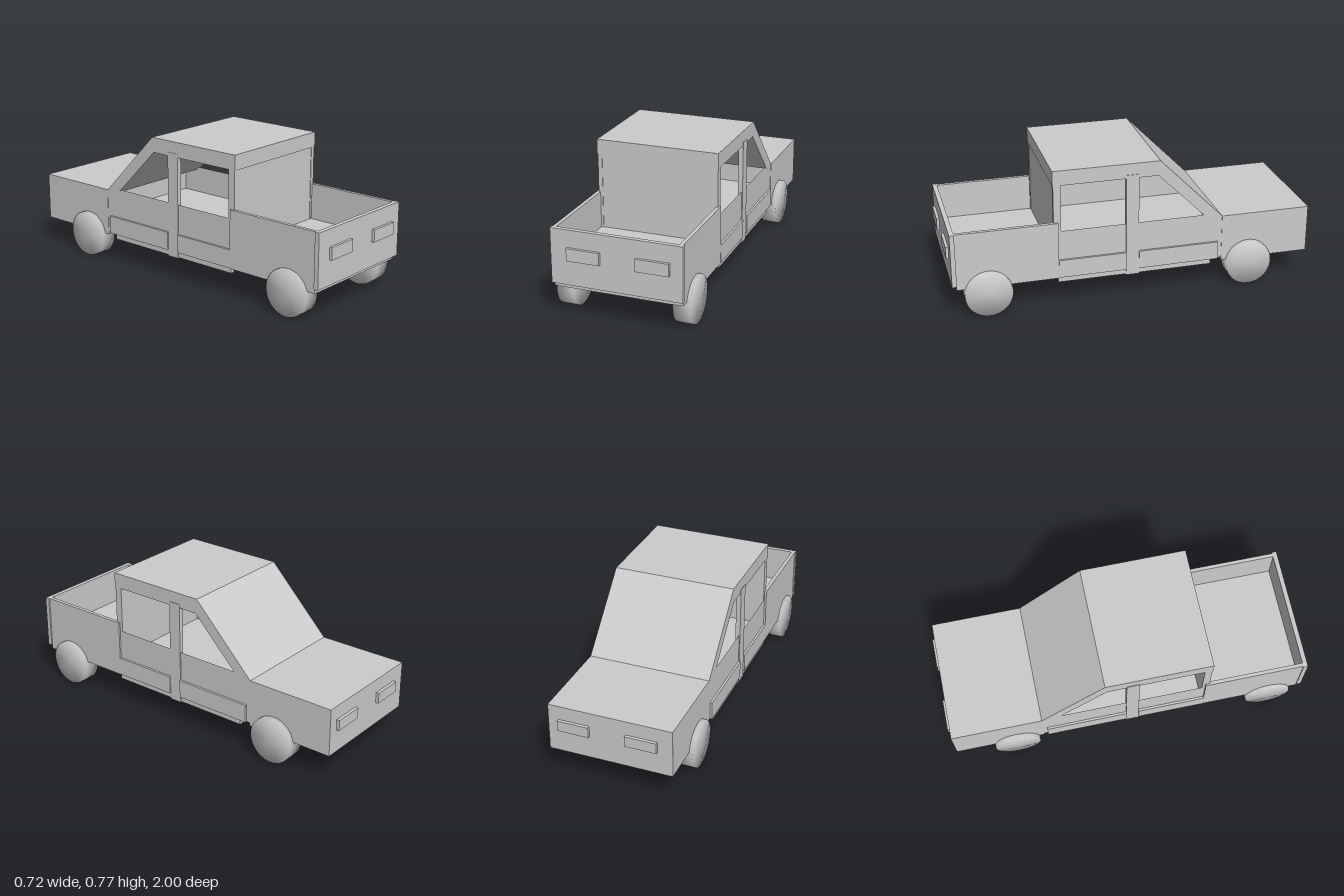
import * as THREE from 'three';

export function createModel() {
  const root = new THREE.Group();
  const mat = new THREE.MeshStandardMaterial({ color: 0xcccccc });
  const truck = new THREE.Group();
  truck.name = 'pickupTruck';
  truck.position.x = -0.005;
  root.add(truck);

  const add = (name, geometry) => {
    const mesh = new THREE.Mesh(geometry, mat);
    mesh.name = name;
    truck.add(mesh);
    return mesh;
  };
  // box given by its limits on each axis
  const box = (name, x0, x1, y0, y1, z0, z1) => {
    const mesh = add(name, new THREE.BoxGeometry(x1 - x0, y1 - y0, z1 - z0));
    mesh.position.set((x0 + x1) / 2, (y0 + y1) / 2, (z0 + z1) / 2);
  };
  // the same box on both sides of the truck
  const pair = (name, x0, x1, ...rest) => {
    box(name + 'Left', x0, x1, ...rest);
    box(name + 'Right', -x1, -x0, ...rest);
  };
  // side outline given as [z, y], extruded from x0 to x1
  const profile = (name, outline, holes, x0, x1) => {
    const toPoints = (list) => list.map(([z, y]) => new THREE.Vector2(-z, y));
    const shape = new THREE.Shape(toPoints(outline));
    holes.forEach((h) => shape.holes.push(new THREE.Path(toPoints(h))));
    const g = new THREE.ExtrudeGeometry(shape, { depth: x1 - x0, bevelEnabled: false });
    g.rotateY(Math.PI / 2).translate(x0, 0, 0);
    add(name, g);
  };

  // engine compartment and floor
  box('hood', -0.335, 0.335, 0.15, 0.412, -0.983, -0.487);
  box('floor', -0.325, 0.325, 0.16, 0.28, -0.487, 0.962);

  // cab sides with window openings
  const side = [[0.44, 0.165], [0.44, 0.69], [-0.213, 0.69], [-0.487, 0.412], [-0.487, 0.165]];
  const windows = [
    [[0.4, 0.43], [0.4, 0.688], [0.05, 0.688], [0.05, 0.43]],
    [[-0.02, 0.43], [-0.02, 0.688], [-0.125, 0.688], [-0.385, 0.43]],
  ];
  profile('cabSideLeft', side, windows, 0.31, 0.333);
  profile('cabSideRight', side, windows, -0.333, -0.31);

  // roof, sloping windscreen and cab back panel
  box('roof', -0.335, 0.335, 0.688, 0.77, -0.135, 0.443);
  profile('windscreen', [[-0.135, 0.77], [-0.487, 0.412], [-0.4, 0.412], [-0.125, 0.688]], [], -0.335, 0.335);
  box('cabBackPanel', -0.333, 0.333, 0.165, 0.69, 0.4, 0.437);

  // door pillars, lower door mouldings and running boards
  pair('doorPillar', 0.312, 0.338, 0.13, 0.708, -0.02, 0.05);
  pair('rearDoorMoulding', 0.33, 0.345, 0.165, 0.265, 0.05, 0.417);
  pair('frontDoorMoulding', 0.33, 0.345, 0.165, 0.265, -0.465, -0.02);
  pair('rearRunningBoard', 0.31, 0.335, 0.135, 0.168, 0.05, 0.42);
  pair('frontRunningBoard', 0.31, 0.335, 0.135, 0.168, -0.425, -0.02);

  // cargo bed
  pair('bedWall', 0.323, 0.343, 0.162, 0.48, 0.417, 0.962);
  box('tailgate', -0.348, 0.35, 0.185, 0.48, 0.96, 0.985);

  // lamps at both ends
  for (const x of [-0.17, 0.195]) {
    box('tailgateLamp', x - 0.088, x + 0.088, 0.32, 0.387, 0.98, 1);
    box('hoodLamp', x - 0.085, x + 0.085, 0.277, 0.335, -1, -0.98);
  }

  // wheels with soft, continuous shading
  const section = [[0, -0.045], [0.127, -0.045], [0.127, 0.045], [0, 0.045]]
    .map(([r, h]) => new THREE.Vector2(r, h));
  const wheelGeometry = new THREE.LatheGeometry(section, 48).rotateZ(Math.PI / 2);
  for (const z of [0.795, -0.64]) {
    for (const s of [-1, 1]) {
      add(s > 0 ? 'wheelLeft' : 'wheelRight', wheelGeometry)
        .position.set(s * 0.313 + 0.003, 0.127, z);
    }
  }
  return root;
}
